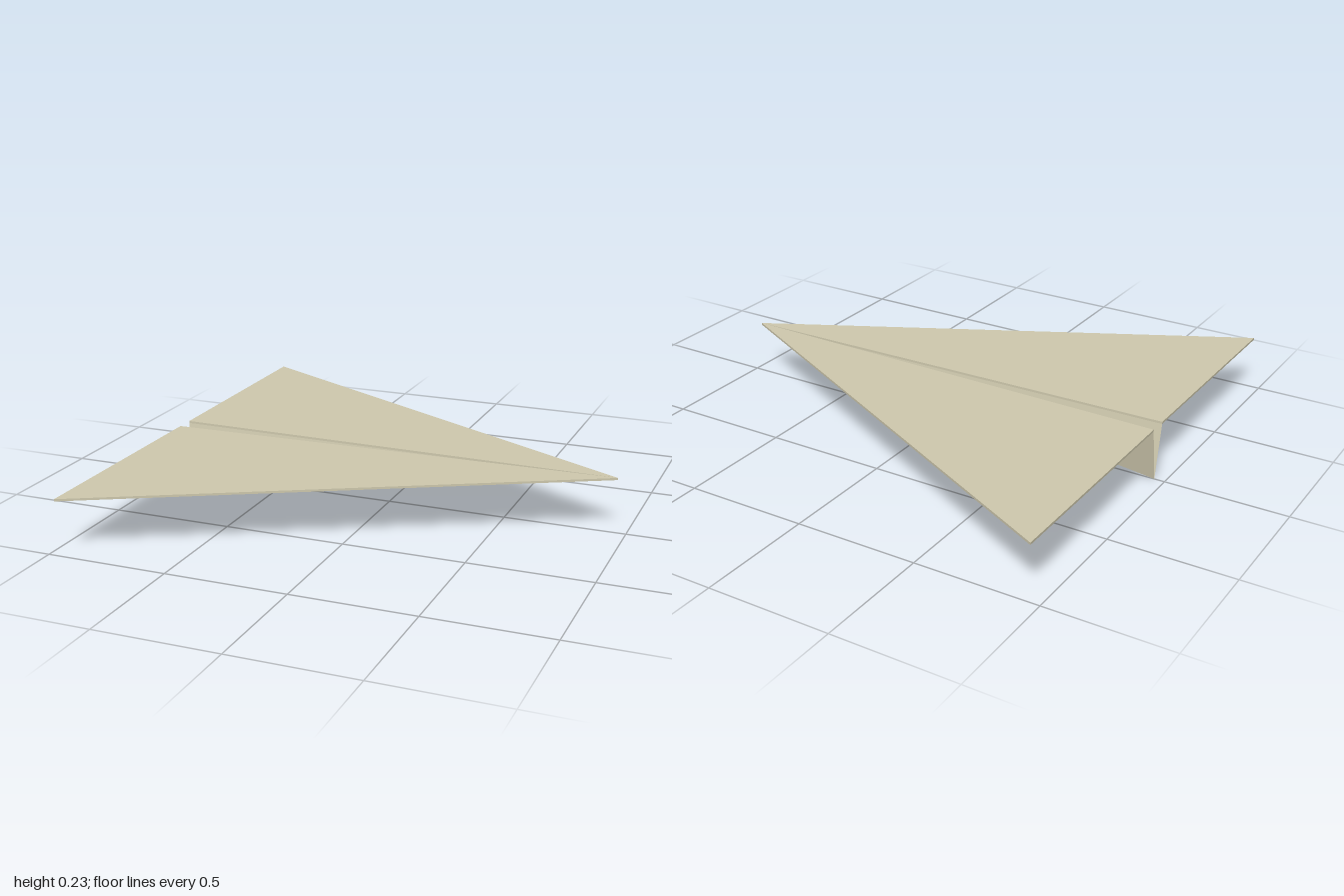
import * as THREE from 'three';

const NOSE = 0.957, TAIL = -0.957;   // length along x
const TOP = 0.23, THICK = 0.009;     // wing sheet
const SPAN = 1, GAP = 0.039;         // half span, half width of the centre fold

// Flat triangular wing on one side of the fold
function wingGeometry(side) {
  const shape = new THREE.Shape([
    new THREE.Vector2(NOSE, 0),
    new THREE.Vector2(TAIL, side * SPAN),
    new THREE.Vector2(TAIL, side * GAP),
  ]);
  const g = new THREE.ExtrudeGeometry(shape, { depth: THICK, bevelEnabled: false });
  return g.rotateX(Math.PI / 2).translate(0, TOP, 0);
}

// Sloping sheet from the wing's inner edge down to the keel crease
function keelGeometry(side) {
  const y = TOP - THICK;
  const nose = [NOSE, y, 0], crease = [TAIL, 0, 0], edge = [TAIL, y, side * GAP];
  const corners = side > 0 ? [nose, edge, crease] : [nose, crease, edge];
  const g = new THREE.BufferGeometry();
  g.setAttribute('position', new THREE.Float32BufferAttribute(corners.flat(), 3));
  g.computeVertexNormals();
  return g;
}

export function createModel() {
  const model = new THREE.Group();
  model.name = 'paperPlane';
  const paper = new THREE.MeshStandardMaterial({ color: 0xcfc9ae, side: THREE.DoubleSide });
  paper.name = 'cream paper';

  for (const side of [1, -1]) {
    const label = side > 0 ? 'Front' : 'Back';
    const wing = new THREE.Mesh(wingGeometry(side), paper);
    wing.name = 'wing' + label;
    const keel = new THREE.Mesh(keelGeometry(side), paper);
    keel.name = 'keelFold' + label;
    model.add(wing, keel);
  }
  return model;
}
